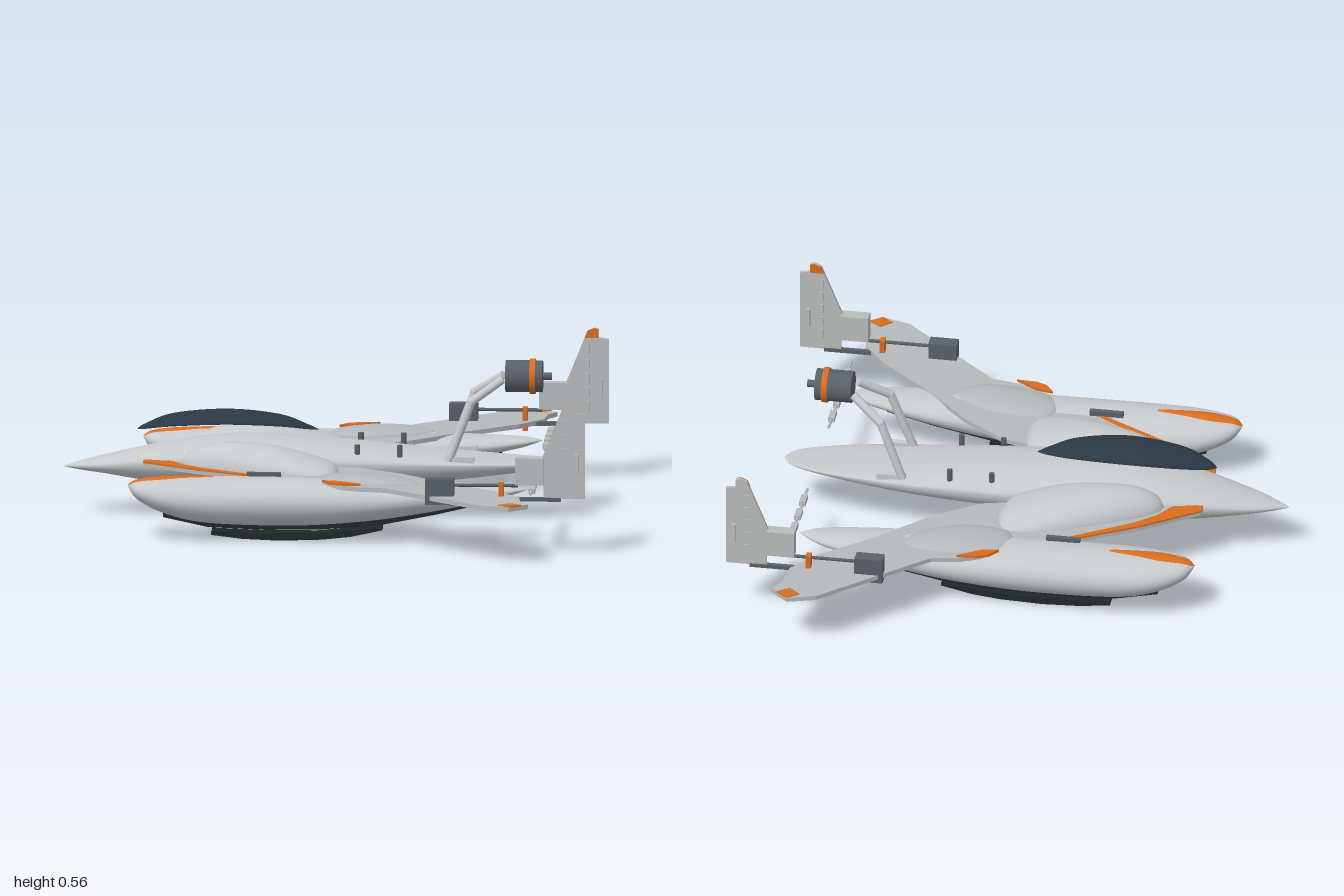
import * as THREE from 'three';

const mat = (name, color, extra = {}) => {
  const m = new THREE.MeshStandardMaterial({ color, ...extra });
  m.name = name;
  return m;
};

// Smooth hull along x; rows are [x, centreY, centreZ, halfWidth, up, down]
function loft(rows, sub = 6, ring = 32) {
  const cr = (a, b, c, d, t) =>
    0.5 * (2 * b + (c - a) * t + (2 * a - 5 * b + 4 * c - d) * t * t + (3 * b - a - 3 * c + d) * t * t * t);
  const fine = [];
  const last = rows.length - 1;
  for (let i = 0; i < last; i++) {
    const q = [rows[Math.max(i - 1, 0)], rows[i], rows[i + 1], rows[Math.min(i + 2, last)]];
    for (let s = 0; s < sub; s++) fine.push(q[1].map((_, k) => cr(q[0][k], q[1][k], q[2][k], q[3][k], s / sub)));
  }
  fine.push(rows[last]);
  const pos = [], idx = [];
  fine.forEach(([x, cy, cz, w, up, down], i) => {
    for (let j = 0; j < ring; j++) {
      const a = (j / ring) * Math.PI * 2, s = Math.sin(a);
      pos.push(x, cy + s * Math.max(s > 0 ? up : down, 0), cz + Math.cos(a) * Math.max(w, 0));
      if (i === fine.length - 1) continue;
      const n = i * ring + ((j + 1) % ring), p = i * ring + j;
      idx.push(p, p + ring, n + ring, p, n + ring, n);
    }
  });
  const g = new THREE.BufferGeometry();
  g.setAttribute('position', new THREE.Float32BufferAttribute(pos, 3));
  g.setIndex(idx);
  g.computeVertexNormals();
  return g;
}

const outline = (pts) => new THREE.Shape(pts.map((p) => new THREE.Vector2(p[0], p[1])));

// Horizontal plate from (x, z) points, top face at y
const plate = (pts, y, t) =>
  new THREE.ExtrudeGeometry(outline(pts), { depth: t, bevelEnabled: false }).rotateX(Math.PI / 2).translate(0, y, 0);

// Upright plate from (x, y) points, centred on z
const upright = (pts, z, t) =>
  new THREE.ExtrudeGeometry(outline(pts), { depth: t, bevelEnabled: false }).translate(0, 0, z - t / 2);

const box = (x0, x1, y0, y1, z0, z1) =>
  new THREE.BoxGeometry(x1 - x0, y1 - y0, z1 - z0).translate((x0 + x1) / 2, (y0 + y1) / 2, (z0 + z1) / 2);

// Cylinder between two points
function rod(a, b, r, sides = 16) {
  const p = new THREE.Vector3(...a), q = new THREE.Vector3(...b), d = q.clone().sub(p);
  const g = new THREE.CylinderGeometry(r, r, d.length(), sides);
  g.applyQuaternion(new THREE.Quaternion().setFromUnitVectors(new THREE.Vector3(0, 1, 0), d.normalize()));
  return g.translate((p.x + q.x) / 2, (p.y + q.y) / 2, (p.z + q.z) / 2);
}

export function createModel() {
  const hull = mat('hull grey', 0xc6c8ca);
  const wingGrey = mat('wing grey', 0xb4b8ba);
  const finGrey = mat('fin grey', 0xb8babb);
  const orange = mat('orange', 0xd96c1e);
  const glass = mat('canopy navy', 0x2b3843);
  const dark = mat('dark grey', 0x596067);
  const black = mat('skid black', 0x20262a);

  const model = new THREE.Group();
  const add = (parent, name, geometry, material) => {
    const m = new THREE.Mesh(geometry, material);
    m.name = name;
    parent.add(m);
    return m;
  };

  // Fuselage and canopy
  add(model, 'fuselage', loft([
    [-0.94, 0.165, 0, 0, 0, 0], [-0.88, 0.17, 0, 0.035, 0.014, 0.016], [-0.8, 0.178, 0, 0.073, 0.026, 0.034],
    [-0.6, 0.198, 0, 0.133, 0.05, 0.083], [-0.4, 0.205, 0, 0.157, 0.075, 0.092], [-0.2, 0.205, 0, 0.165, 0.08, 0.095],
    [0, 0.205, 0, 0.167, 0.066, 0.095], [0.2, 0.203, 0, 0.16, 0.05, 0.088], [0.4, 0.201, 0, 0.146, 0.031, 0.072],
    [0.6, 0.2, 0, 0.12, 0.014, 0.047], [0.75, 0.197, 0, 0.085, 0.006, 0.024], [0.83, 0.195, 0, 0.048, 0.004, 0.01],
    [0.86, 0.194, 0, 0, 0, 0]]), hull);
  add(model, 'canopy', loft([
    [-0.68, 0.3, 0, 0, 0, 0], [-0.65, 0.305, 0, 0.03, 0.014, 0.002], [-0.55, 0.322, 0, 0.072, 0.034, 0.003],
    [-0.36, 0.334, 0, 0.094, 0.037, 0.004], [-0.18, 0.325, 0, 0.07, 0.03, 0.003], [-0.08, 0.309, 0, 0.027, 0.012, 0.002],
    [-0.04, 0.303, 0, 0, 0, 0]]), glass);

  // Rear motor
  add(model, 'motor', rod([0.615, 0.5, 0], [0.745, 0.5, 0], 0.056, 32), dark);
  add(model, 'motorRing', rod([0.7, 0.5, 0], [0.72, 0.5, 0], 0.062, 32), orange);
  add(model, 'motorShaft', rod([0.74, 0.5, 0], [0.777, 0.5, 0], 0.013), dark);

  // Everything else is made once per side
  for (const side of [1, -1]) {
    const half = new THREE.Group();
    half.name = side > 0 ? 'leftSide' : 'rightSide';
    half.scale.z = side;
    model.add(half);
    const put = (name, g, m) => add(half, name, g, m);

    // Motor struts and deck studs
    const path = [[0.42, 0.215, 0.115], [0.5, 0.425, 0.102], [0.605, 0.495, 0.05]];
    put('strutLower', rod(path[0], path[1], 0.015), hull);
    put('strutUpper', rod(path[1], path[2], 0.015), hull);
    put('strutElbow', new THREE.SphereGeometry(0.016, 16, 12).translate(...path[1]), hull);
    put('strutFoot', box(0.41, 0.51, 0.205, 0.23, 0.1, 0.125), hull);
    for (const x of [0.1, 0.25]) put('deckStud', rod([x, 0.23, 0.125], [x, 0.272, 0.125], 0.01), dark);

    // Wing with raised fairings
    put('wing', plate([[-0.65, 0.12], [-0.65, 0.155], [-0.45, 0.3], [-0.2, 0.445], [0, 0.56], [0.13, 0.622],
      [0.23, 0.64], [0.58, 0.97], [0.68, 1], [0.745, 0.94], [0.715, 0.89], [0.705, 0.79], [0.62, 0.68],
      [0.45, 0.53], [0.27, 0.34], [0.12, 0.23], [0, 0.2], [0, 0.12]], 0.208, 0.016), wingGrey);
    put('wingFairing', loft([[-0.52, 0.2, 0.15, 0, 0, 0], [-0.49, 0.2, 0.15, 0.05, 0.046, 0.01],
      [-0.42, 0.2, 0.165, 0.085, 0.078, 0.01], [-0.32, 0.2, 0.19, 0.115, 0.09, 0.01],
      [-0.18, 0.2, 0.225, 0.145, 0.082, 0.01], [-0.06, 0.2, 0.255, 0.15, 0.054, 0.01],
      [0.02, 0.2, 0.28, 0.11, 0.03, 0.01], [0.05, 0.2, 0.3, 0, 0, 0]]), hull);
    put('outerFairing', loft([[-0.04, 0.205, 0.47, 0, 0, 0], [0, 0.205, 0.475, 0.07, 0.018, 0.005],
      [0.12, 0.205, 0.49, 0.1, 0.03, 0.005], [0.24, 0.205, 0.51, 0.085, 0.025, 0.005],
      [0.32, 0.205, 0.525, 0.04, 0.01, 0.003], [0.34, 0.205, 0.53, 0, 0, 0]]), wingGrey);
    put('leadingStripe', plate([[-0.65, 0.12], [-0.65, 0.156], [-0.45, 0.301], [-0.2, 0.446], [-0.19, 0.435],
      [-0.42, 0.285], [-0.5, 0.215], [-0.56, 0.12]].map(([x, z]) => [x, z]), 0.211, 0.006), orange);
    put('edgePatch', plate([[0, 0.562], [0.03, 0.605], [0.07, 0.622], [0.14, 0.626], [0.06, 0.575]], 0.222, 0.009), orange);
    put('tipMark', plate([[0.68, 0.932], [0.722, 0.964], [0.68, 0.999], [0.64, 0.968]], 0.211, 0.005), orange);
    put('wingCleat', box(-0.27, -0.15, 0.205, 0.228, 0.441, 0.459), dark);

    // Float pod with nose flash and skids
    const top = [[-0.68, 0.195], [-0.65, 0.205], [-0.55, 0.216], [-0.4, 0.22]];
    put('pod', loft([[-0.685, 0.185, 0.5, 0, 0, 0], [-0.65, 0.172, 0.5, 0.058, 0.033, 0.035],
      [-0.55, 0.152, 0.5, 0.103, 0.064, 0.064], [-0.4, 0.142, 0.5, 0.12, 0.078, 0.085],
      [-0.1, 0.14, 0.5, 0.122, 0.078, 0.09], [0.15, 0.145, 0.5, 0.118, 0.07, 0.077],
      [0.35, 0.158, 0.5, 0.105, 0.05, 0.06], [0.52, 0.169, 0.5, 0.081, 0.033, 0.037],
      [0.65, 0.179, 0.5, 0.046, 0.018, 0.018], [0.72, 0.185, 0.5, 0, 0, 0]]), hull);
    put('noseFlash', loft([[-0.687, 0.187, 0.5, 0, 0, 0],
      ...top.slice(1).map(([x, y], i) => [x, y - 0.007, 0.5, [0.024, 0.032, 0.011][i], 0.01, 0.004]),
      [-0.375, 0.213, 0.5, 0, 0, 0]], 6, 20), orange);
    put('podSkid', upright([[-0.56, 0.098], [-0.5, 0.085], [-0.35, 0.068], [-0.1, 0.065], [0.15, 0.083], [0.35, 0.113],
      [0.57, 0.155], [0.575, 0.14], [0.4, 0.098], [0.2, 0.058], [0, 0.042], [-0.2, 0.038], [-0.4, 0.046],
      [-0.56, 0.08]], 0.5, 0.07), black);
    put('lowerSkid', upright([[-0.39, 0.032], [-0.2, 0.025], [-0.02, 0.026], [0.21, 0.05], [0.21, 0.04], [0.1, 0.016],
      [0, 0.005], [-0.15, 0], [-0.28, 0.005], [-0.39, 0.018]], 0.5, 0.07), black);

    // Tail fin, control box and linkage
    const z = 0.768;
    put('fin', upright([[0.74, 0.25], [0.785, 0.345], [0.86, 0.53], [0.885, 0.54], [0.9, 0.535], [0.9, 0.505],
      [0.935, 0.5], [0.935, 0.2], [0.79, 0.2], [0.79, 0.25]], z, 0.012), finGrey);
    put('finBlock', box(0.69, 0.79, 0.25, 0.345, z - 0.023, z + 0.023), finGrey);
    put('finTip', upright([[0.85, 0.505], [0.86, 0.53], [0.885, 0.54], [0.899, 0.535], [0.899, 0.505]], z - 0.008, 0.005), orange);
    for (let i = 0; i < 5; i++) {
      const y = 0.245 + i * 0.05;
      put('finHinge', box(0.85, 0.868, y, y + 0.034, z - 0.011, z + 0.011), finGrey);
    }
    put('finPanel', box(0.898, 0.914, 0.29, 0.36, z - 0.02, z + 0.02), finGrey);
    put('finRoot', box(0.66, 0.85, 0.19, 0.204, z - 0.008, z + 0.008), dark);
    put('controlBox', box(0.375, 0.475, 0.177, 0.268, z - 0.026, z + 0.024), dark);
    put('pushRod', rod([0.475, 0.245, z], [0.7, 0.245, z], 0.006, 10), dark);
    put('rodClevis', box(0.632, 0.65, 0.172, 0.255, z - 0.016, z + 0.016), orange);

    // Segmented trailing bar
    put('trailingBar', rod([0.74, 0.2, 0.22], [0.74, 0.2, 0.69], 0.005, 10), finGrey);
    for (let i = 0; i < 4; i++) {
      const c = 0.3 + i * 0.1;
      put('barSegment', box(0.729, 0.751, 0.191, 0.209, c - 0.028, c + 0.028), finGrey);
    }
  }
  return model;
}
